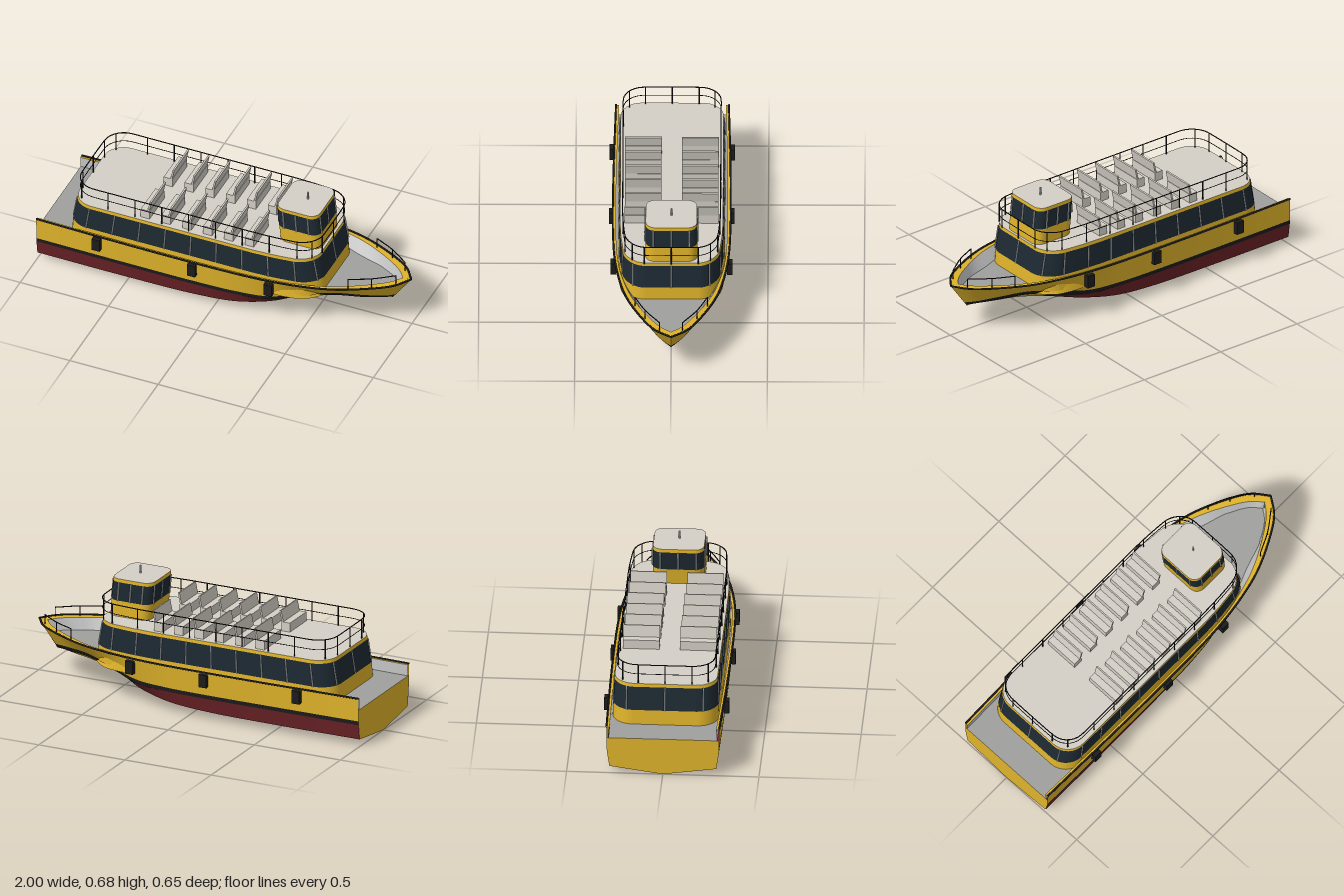
import * as THREE from 'three';

const V = (x, y, z) => new THREE.Vector3(x, y, z);
const mat = (color) => new THREE.MeshStandardMaterial({ color, side: THREE.DoubleSide });
const M = {
  yellow: mat(0xdfb32a), red: mat(0x6b2226), black: mat(0x1c1c1c), glass: mat(0x1d2932),
  deck: mat(0xa0a09e), warm: mat(0xd4cfc6), grey: mat(0xcccccc),
};

// Surface through rows of points, all rows equally long
function loft(rows) {
  const n = rows[0].length, pos = [], idx = [];
  rows.forEach((r) => r.forEach((p) => pos.push(p.x, p.y, p.z)));
  for (let i = 0; i < rows.length - 1; i++) {
    for (let j = 0; j < n - 1; j++) {
      const a = i * n + j, b = a + n;
      idx.push(a, a + 1, b, b, a + 1, b + 1);
    }
  }
  const g = new THREE.BufferGeometry();
  g.setAttribute('position', new THREE.Float32BufferAttribute(pos, 3));
  g.setIndex(idx);
  g.computeVertexNormals();
  return g;
}

// Closed rounded rectangle in plan; taper narrows it toward the bow
const narrow = (x, taper) => 1 - taper * Math.max(0, x - 0.2) ** 2;
function ring(x0, x1, hz, r, y, taper = 0) {
  const pts = [];
  const corners = [[x1 - r, hz - r], [x0 + r, hz - r], [x0 + r, r - hz], [x1 - r, r - hz]];
  corners.forEach(([cx, cz], c) => {
    for (let i = 0; i <= 8; i++) {
      const a = (c + i / 8) * Math.PI / 2;
      pts.push(V(cx + r * Math.cos(a), y, cz + r * Math.sin(a)));
    }
    if (c % 2 === 0) { // intermediate points along the sides
      const next = corners[c + 1][0];
      for (let i = 1; i < 10; i++) pts.push(V(cx + (next - cx) * i / 10, y, c === 0 ? hz : -hz));
    }
  });
  pts.forEach((p) => { p.z *= narrow(p.x, taper); });
  return [...pts, pts[0].clone()];
}

export function createModel() {
  const boat = new THREE.Group();
  const add = (name, geo, m, parent = boat) => {
    const mesh = new THREE.Mesh(geo, m);
    mesh.name = name;
    parent.add(mesh);
    return mesh;
  };
  const group = (name) => { const g = new THREE.Group(); g.name = name; boat.add(g); return g; };
  const rod = (name, a, b, r, m, parent) => {
    const mesh = add(name, new THREE.CylinderGeometry(r, r, a.distanceTo(b), 6), m, parent);
    mesh.position.copy(a).lerp(b, 0.5);
    mesh.quaternion.setFromUnitVectors(V(0, 1, 0), b.clone().sub(a).normalize());
  };
  const tube = (name, pts, r, m, parent) =>
    add(name, new THREE.TubeGeometry(new THREE.CatmullRomCurve3(pts), 120, r, 6), m, parent);
  const box = (name, w, h, d, x, y, z, m, parent) => {
    const mesh = add(name, new THREE.BoxGeometry(w, h, d), m, parent);
    mesh.position.set(x, y, z);
    return mesh;
  };
  const flip = (rows) => rows.map((r) => r.map((p) => V(p.x, p.y, -p.z)).reverse());
  const mirrored = (name, rows, m) => {
    add(name + 'Left', loft(rows), m);
    add(name + 'Right', loft(flip(rows)), m);
  };

  // Hull stations: x, bow rake, then [z, y] of keel, chine, red edge, stripe bottom, stripe top, sheer
  const stations = [
    [-1, 0, [0, 0], [.278, .04], [.29, .122], [.29, .122], [.292, .144], [.293, .268]],
    [-.5, 0, [0, 0], [.28, .04], [.294, .122], [.294, .122], [.296, .144], [.303, .268]],
    [-.1, 0, [0, .003], [.277, .045], [.294, .122], [.294, .122], [.296, .144], [.306, .269]],
    [.12, 0, [0, .018], [.265, .06], [.287, .123], [.287, .123], [.289, .145], [.304, .27]],
    [.3, 0, [0, .046], [.22, .086], [.258, .124], [.264, .13], [.27, .152], [.296, .272]],
    [.47, 0, [0, .082], [.1, .1], [.12, .108], [.205, .16], [.225, .185], [.275, .274]],
    [.62, .2, [0, .111], [.07, .13], [.085, .138], [.16, .185], [.175, .21], [.236, .277]],
    [.76, .5, [0, .132], [.045, .144], [.055, .149], [.11, .182], [.12, .204], [.162, .281]],
    [.85, .8, [0, .139], [.015, .145], [.02, .148], [.045, .163], [.055, .182], [.085, .284]],
    [.892, 1, [0, .14], [0, .142], [0, .143], [0, .146], [0, .163], [0, .286]],
  ];
  const N = 72;
  const line = (k) => {
    const pts = stations.map(([x, rake, ...p]) =>
      V(x + rake * (p[k][1] - .14) * .71, p[k][1], p[k][0]));
    return new THREE.CatmullRomCurve3(pts).getPoints(N)
      .map((p) => V(p.x, Math.max(0, p.y), Math.max(0, p.z)));
  };
  const [keel, chine, redEdge, low, high, sheer] = [0, 1, 2, 3, 4, 5].map(line);
  mirrored('bottom', [keel, chine], M.red);
  mirrored('lowerSide', [chine, redEdge], M.red);
  mirrored('bowPatch', [redEdge.slice(25, 42), low.slice(25, 42)], M.black);
  mirrored('bowBand', [redEdge.slice(41), low.slice(41)], M.yellow);
  mirrored('waterlineStripe', [low, high], M.black);
  mirrored('topside', [high, sheer], M.yellow);

  // Transom, bulwark and main deck; the deck meets the hull side at its own height
  const inner = sheer.map((p) => {
    const bow = Math.max(0, p.x - .4);
    return V(p.x - .04 * bow, p.y, Math.max(0, p.z - .016 - .04 * bow));
  });
  const deckEdge = high.map((h, i) => {
    const y = .205 + .015 * Math.max(0, h.x);
    const q = h.clone().lerp(sheer[i], Math.max(.06, (y - h.y) / (sheer[i].y - h.y)));
    return V(q.x - (q.x > .8 ? .006 : 0), q.y, Math.max(0, q.z - .01));
  });
  mirrored('bulwarkCap', [sheer, inner], M.yellow);
  mirrored('bulwarkInside', [inner, deckEdge], M.grey);
  mirrored('mainDeck', [deckEdge, deckEdge.map((p) => V(p.x, p.y, 0))], M.deck);
  const sternEdge = [keel[0], chine[0], redEdge[0], high[0], V(-1, .205, .292)];
  mirrored('transom', [sternEdge, sternEdge.map((p) => V(-1, p.y, 0))], M.yellow);
  for (const s of [1, -1]) {
    tube('rubRail', sheer.filter((_, i) => i % 3 === 0).map((p) => V(p.x, p.y + .002, p.z * s)), .0055, M.black);
  }

  // Spray fins on the bow: x, top z, top y, outer z, inner z
  const fin = [[.265, .25, .182, .255, .24], [.33, .267, .21, .272, .24], [.42, .26, .236, .268, .21],
    [.5, .232, .22, .246, .18], [.585, .165, .182, .17, .15]];
  const smooth = (pts) => new THREE.CatmullRomCurve3(pts).getPoints(20);
  const finTop = smooth(fin.map((f) => V(f[0], f[2], f[1])));
  const finOut = smooth(fin.map((f) => V(f[0], .18, f[3])));
  const finIn = smooth(fin.map((f) => V(f[0], .18, f[4])));
  mirrored('sprayFin', [finTop, finOut], M.yellow);
  mirrored('sprayFinBase', [finOut, finIn], M.yellow);

  // Fenders
  for (const x of [-.65, -.11, .32]) {
    for (const s of [1, -1]) box('fender', .045, .07, .03, x, .228, s * (x > 0 ? .302 : .31), M.black);
  }

  // Houses: stacked bands between tapered rings, closed by a flat roof
  const house = (name, levels, taper) => {
    const g = group(name);
    const rings = levels.map(([y, x0, x1, hz, r]) => ring(x0, x1, hz, r, y, taper));
    ['lowerWall', 'windowBand', 'roofBand'].forEach((part, i) =>
      add(part, loft([rings[i], rings[i + 1]]), i === 1 ? M.glass : M.yellow, g));
    const top = rings[3];
    add('roof', loft([top, top.map((p) => V(p.x, p.y, 0))]), M.warm, g);
    return g;
  };
  const cabinTaper = 1.1;
  const cabin = house('cabin', [[.2, -.842, .578, .277, .11], [.285, -.836, .572, .274, .11],
    [.41, -.815, .55, .269, .11], [.428, -.812, .548, .267, .11]], cabinTaper);
  for (let x = -.72; x < .48; x += .146) {
    for (const s of [1, -1]) {
      rod('mullion', V(x * 1.01, .285, s * .275 * narrow(x, cabinTaper)),
        V(x * .985, .41, s * .27 * narrow(x, cabinTaper)), .0035, M.grey, cabin);
    }
  }
  for (const z of [-.2, 0, .2]) {
    const [aft, fore] = z ? [.006, .018] : [0, 0];
    rod('mullion', V(-.836 + aft, .285, z), V(-.815 + aft, .41, z), .0035, M.grey, cabin);
    rod('mullion', V(.572 - fore, .285, z), V(.55 - fore, .41, z), .0035, M.grey, cabin);
  }

  const wheelhouse = house('wheelhouse', [[.428, .298, .535, .135, .05], [.515, .288, .53, .135, .05],
    [.617, .28, .52, .134, .05], [.635, .282, .518, .133, .05]], 0);
  for (const s of [1, -1]) {
    for (const x of [.335, .405, .475]) {
      rod('mullion', V(x, .515, s * .137), V(x - .008, .617, s * .136), .004, M.grey, wheelhouse);
    }
  }
  for (const z of [-.094, 0, .094]) {
    rod('mullion', V(.53, .515, z), V(.52, .617, z), .004, M.grey, wheelhouse);
    rod('mullion', V(.288, .515, z), V(.28, .617, z), .004, M.grey, wheelhouse);
  }
  rod('mast', V(.41, .63, 0), V(.41, .678, 0), .005, M.grey, wheelhouse);

  // Upper deck railing
  const railing = group('upperRailing');
  const railTaper = .8;
  for (const [name, y, r] of [['topRail', .535, .003], ['midRail', .482, .002]]) {
    const path = new THREE.CatmullRomCurve3(ring(-.805, .555, .254, .11, y, railTaper).slice(0, -1), true);
    add(name, new THREE.TubeGeometry(path, 160, r, 6, true), M.black, railing);
  }
  const posts = [[-.773, .222], [.523, .203], [-.803, .14], [.553, .14]];
  for (let x = -.61; x < .5; x += .152) posts.push([x, .254 * narrow(x, railTaper)]);
  const allPosts = [[-.805, 0], [.555, 0], ...posts, ...posts.map(([x, z]) => [x, -z])];
  for (const [x, z] of allPosts) rod('post', V(x, .425, z), V(x, .535, z), .003, M.black, railing);

  // Benches
  const benches = group('benches');
  for (let i = 0; i < 6; i++) {
    for (const s of [1, -1]) {
      const x = -.4 + i * .118;
      box('seat', .05, .05, .19, x - .005, .453, s * .148, M.warm, benches);
      box('backrest', .009, .075, .19, x + .018, .502, s * .148, M.warm, benches).rotation.z = -.2;
    }
  }

  // Bow rails
  const bowRails = group('bowRails');
  for (const s of [1, -1]) {
    const feet = [[.72, .188], [.83, .135], [.935, .06]].map(([x, z]) => V(x, .275, z * s));
    const tops = feet.map((p) => V(p.x, .336, p.z));
    feet.forEach((p, i) => rod('post', p, tops[i], .0025, M.black, bowRails));
    tube('handrail', tops, .003, M.black, bowRails);
  }
  return boat;
}
